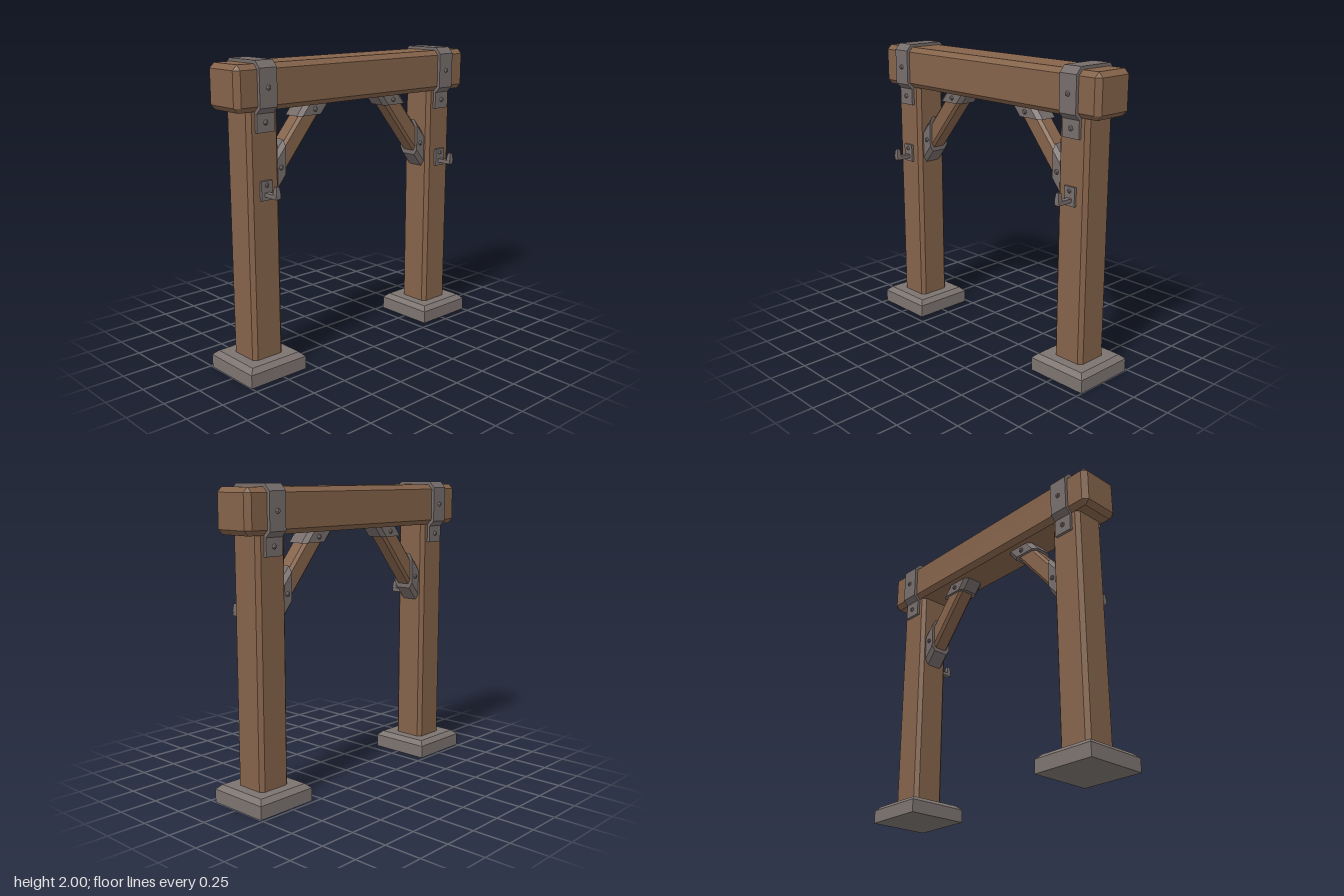
import * as THREE from 'three';
import { ConvexGeometry } from 'three/addons/geometries/ConvexGeometry.js';

const wood = new THREE.MeshStandardMaterial({ color: 0x85634a, name: 'wood', flatShading: true });
const iron = new THREE.MeshStandardMaterial({ color: 0x766d6b, name: 'iron', flatShading: true });
const stone = new THREE.MeshStandardMaterial({ color: 0x7c7370, name: 'stone', flatShading: true });

const ZC = -0.015; // depth of the frame's middle plane
const POST_X = 0.784;

const v = (x, y, z) => new THREE.Vector3(x, y, z);

function add(parent, name, geometry, material, x = 0, y = 0, z = 0) {
  const mesh = new THREE.Mesh(geometry, material);
  mesh.name = name;
  mesh.position.set(x, y, z);
  parent.add(mesh);
  return mesh;
}

// Corners of a rectangle with cut corners
function octagon(a, b, c) {
  return [[a, b - c], [a - c, b], [c - a, b], [-a, b - c], [-a, c - b], [c - a, -b], [a - c, -b], [a, c - b]];
}

// Box with every edge chamfered
function chamferBox(hx, hy, hz, c) {
  const pts = [];
  for (const x of [-1, 1]) for (const y of [-1, 1]) for (const z of [-1, 1]) {
    pts.push(v(x * hx, y * (hy - c), z * (hz - c)));
    pts.push(v(x * (hx - c), y * hy, z * (hz - c)));
    pts.push(v(x * (hx - c), y * (hy - c), z * hz));
  }
  return new ConvexGeometry(pts);
}

// Upright prism with chamfered vertical edges
function uprightPrism(hx, hz, c, y0, y1) {
  const pts = [];
  for (const [x, z] of octagon(hx, hz, c)) pts.push(v(x, y0, z), v(x, y1, z));
  return new ConvexGeometry(pts);
}

// Diagonal prism along the brace line, cut at each end by a plane { x } or { y }
const LOW = new THREE.Vector2(0.63, 1.325);
const HIGH = new THREE.Vector2(0.35, 1.6625);
const DIR = HIGH.clone().sub(LOW).normalize();
function diagonalPrism(side, halfThick, halfDepth, c, cuts) {
  const pts = [];
  for (const [t, z] of octagon(halfThick, halfDepth, c)) {
    const px = LOW.x + DIR.y * t, py = LOW.y - DIR.x * t;
    for (const cut of cuts) {
      const s = cut.x !== undefined ? (cut.x - px) / DIR.x : (cut.y - py) / DIR.y;
      pts.push(v(side * (px + DIR.x * s), py + DIR.y * s, z));
    }
  }
  return new ConvexGeometry(pts);
}

// Matching bolt heads on the front and back
function boltPair(parent, x, y, halfDepth) {
  for (const dir of [1, -1]) {
    const geo = new THREE.CylinderGeometry(0.009, 0.018, 0.014, 8).rotateX(dir * Math.PI / 2);
    add(parent, 'bolt', geo, iron, x, y, ZC + dir * (halfDepth + 0.006));
  }
}

// Bent strap that wraps the beam and grips the post
function strapGeometry(width) {
  const outer = [[0.135, 1.57], [0.135, 1.685], [0.17, 1.72], [0.17, 1.957], [0.13, 2]];
  const inner = [[0.114, 1.57], [0.114, 1.695], [0.148, 1.73], [0.148, 1.947], [0.12, 1.978]];
  const mirror = (p) => p.map(([z, y]) => [-z, y]);
  const loop = [...outer, ...mirror(outer).reverse(), ...mirror(inner), ...inner.slice().reverse()];
  const shape = new THREE.Shape(loop.map(([z, y]) => new THREE.Vector2(z, y)));
  return new THREE.ExtrudeGeometry(shape, { depth: width, bevelEnabled: false })
    .translate(0, 0, -width / 2).rotateY(-Math.PI / 2);
}

// Wall hook: backing plate, peg and upturned tip
function buildHook(x) {
  const hook = new THREE.Group();
  hook.name = 'hook';
  add(hook, 'hookPlate', new THREE.BoxGeometry(0.083, 0.122, 0.02), iron, 0, 1.212, 0.108);
  add(hook, 'hookPeg', new THREE.BoxGeometry(0.036, 0.026, 0.112), iron, 0, 1.188, 0.172);
  const tip = new THREE.CylinderGeometry(0.016, 0.025, 0.056, 4, 1).rotateY(Math.PI / 4);
  add(hook, 'hookTip', tip, iron, 0, 1.225, 0.214);
  const rivet = new THREE.CylinderGeometry(0.007, 0.015, 0.012, 8).rotateX(Math.PI / 2);
  add(hook, 'hookRivet', rivet, iron, 0, 1.246, 0.124);
  hook.position.x = x;
  return hook;
}

// One side of the frame: footing, post, strap, brace and hook
function buildSide(side) {
  const g = new THREE.Group();
  g.name = side > 0 ? 'leftSide' : 'rightSide';
  const x = side * POST_X;

  const foot = [];
  for (const [h, y] of [[0.216, 0], [0.216, 0.088], [0.184, 0.118]])
    for (const a of [-h, h]) for (const b of [-h, h]) foot.push(v(a, y, b));
  add(g, 'footing', new ConvexGeometry(foot), stone, x, 0, ZC);

  add(g, 'post', uprightPrism(0.116, 0.116, 0.025, 0.1, 1.72), wood, x, 0, ZC);

  add(g, 'strap', strapGeometry(0.13), iron, x, 0, ZC);
  boltPair(g, x, 1.84, 0.17);
  boltPair(g, x, 1.63, 0.135);

  add(g, 'brace', diagonalPrism(side, 0.062, 0.062, 0.018, [{ x: 0.68 }, { y: 1.71 }]), wood, 0, 0, ZC);
  add(g, 'lowerBracket', diagonalPrism(side, 0.081, 0.08, 0.025, [{ x: 0.672 }, { x: 0.594 }]), iron, 0, 0, ZC);
  add(g, 'upperBracket', diagonalPrism(side, 0.081, 0.08, 0.025, [{ y: 1.703 }, { y: 1.627 }]), iron, 0, 0, ZC);
  boltPair(g, side * LOW.x, LOW.y, 0.08);
  boltPair(g, side * HIGH.x, HIGH.y, 0.08);

  g.add(buildHook(x));
  return g;
}

export function createModel() {
  const model = new THREE.Group();
  model.name = 'timberFrame';
  add(model, 'beam', chamferBox(1, 0.141, 0.149, 0.032), wood, 0, 1.839, ZC);
  model.add(buildSide(1), buildSide(-1));
  return model;
}
